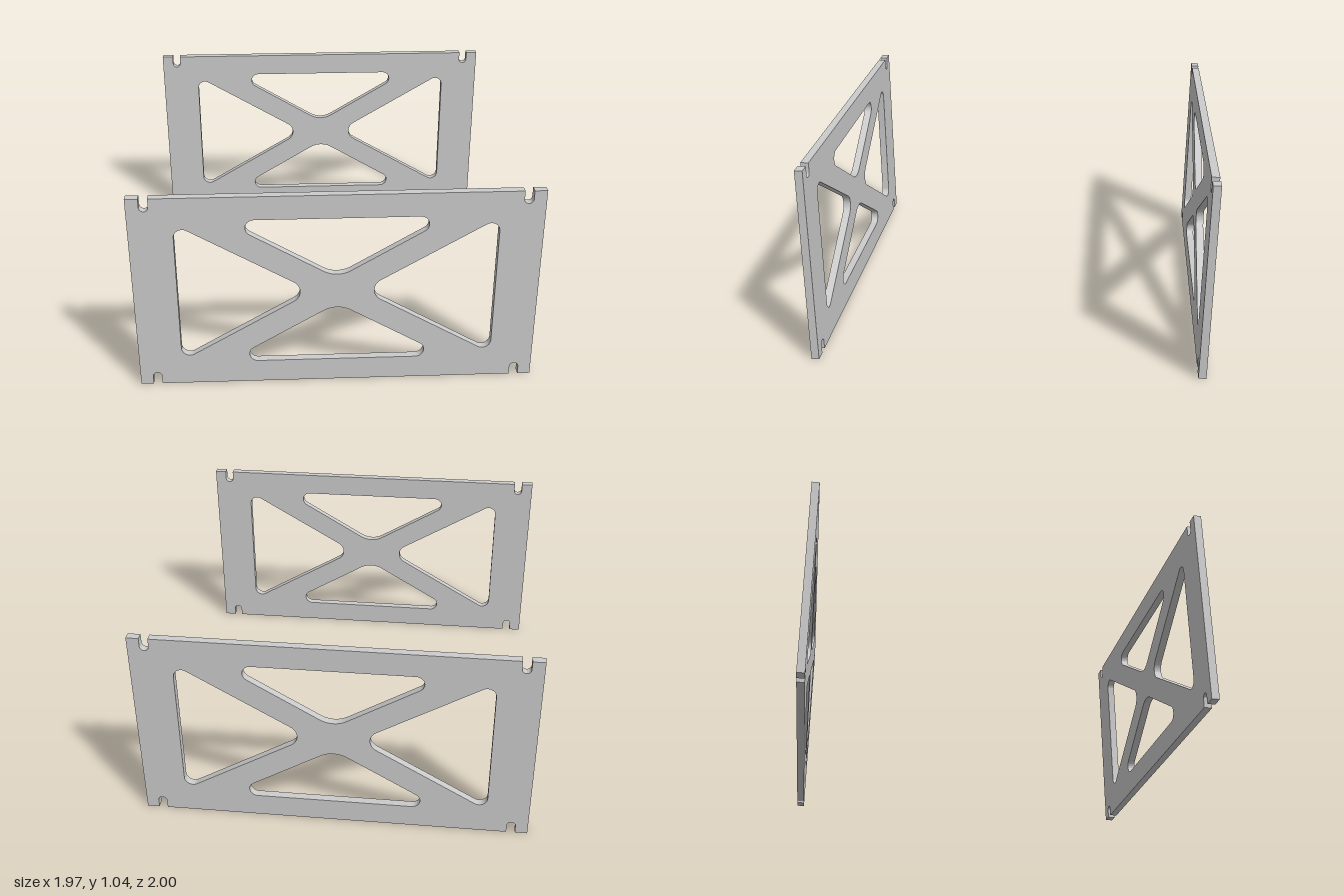
import * as THREE from 'three';
import { toCreasedNormals } from 'three/addons/utils/BufferGeometryUtils.js';

const HALF_W = 0.983, HEIGHT = 1.038, THICK = 0.04, MID = HEIGHT / 2;
const NOTCH_X = 0.899, NOTCH_R = 0.022, NOTCH_DEPTH = 0.066;

// Closed path through counter-clockwise corners [x, y, radius], each rounded by a true arc
function roundedPolygon(corners) {
  const path = new THREE.Path();
  const count = corners.length;
  const outward = (a, b) => new THREE.Vector2(b[1] - a[1], a[0] - b[0]).normalize();
  corners.forEach((p, i) => {
    const n1 = outward(corners[(i + count - 1) % count], p);
    const n2 = outward(p, corners[(i + 1) % count]);
    const k = p[2] / (1 + n1.dot(n2));
    path.absarc(p[0] - (n1.x + n2.x) * k, p[1] - (n1.y + n2.y) * k, p[2], n1.angle(), n2.angle(), false);
  });
  path.closePath();
  return path;
}

// Plate outline with a round-ended notch near each corner
function plateOutline() {
  const shape = new THREE.Shape();
  const inner = NOTCH_DEPTH - NOTCH_R;
  shape.moveTo(-HALF_W, 0);
  for (const x of [-NOTCH_X, NOTCH_X]) {
    shape.lineTo(x - NOTCH_R, 0);
    shape.absarc(x, inner, NOTCH_R, Math.PI, 0, true);
    shape.lineTo(x + NOTCH_R, 0);
  }
  shape.lineTo(HALF_W, 0);
  shape.lineTo(HALF_W, HEIGHT);
  for (const x of [NOTCH_X, -NOTCH_X]) {
    shape.lineTo(x + NOTCH_R, HEIGHT);
    shape.absarc(x, HEIGHT - inner, NOTCH_R, 0, -Math.PI, true);
    shape.lineTo(x - NOTCH_R, HEIGHT);
  }
  shape.lineTo(-HALF_W, HEIGHT);
  shape.closePath();
  return shape;
}

export function createModel() {
  const group = new THREE.Group();
  group.name = 'sidePlates';
  const material = new THREE.MeshStandardMaterial({ color: 0xcccccc });

  // Four triangular cut-outs leave an X-shaped brace; s turns each pair by half a turn
  const shape = plateOutline();
  for (const s of [1, -1]) {
    const place = (x, y, r) => [s * x, MID + s * y, r];
    shape.holes.push(
      roundedPolygon([place(0.119, 0, 0.063), place(0.771, -0.385, 0.042), place(0.771, 0.385, 0.042)]),
      roundedPolygon([place(0, 0.072, 0.13), place(0.545, 0.397, 0.042), place(-0.545, 0.397, 0.042)])
    );
  }

  const geometry = toCreasedNormals(
    new THREE.ExtrudeGeometry(shape, { depth: THICK, bevelEnabled: false, curveSegments: 14 }), 0.5);

  // Two identical plates, front and back
  for (const [name, z] of [['frontPlate', 1 - THICK], ['backPlate', -1]]) {
    const plate = new THREE.Mesh(geometry, material);
    plate.name = name;
    plate.position.z = z;
    group.add(plate);
  }
  return group;
}
